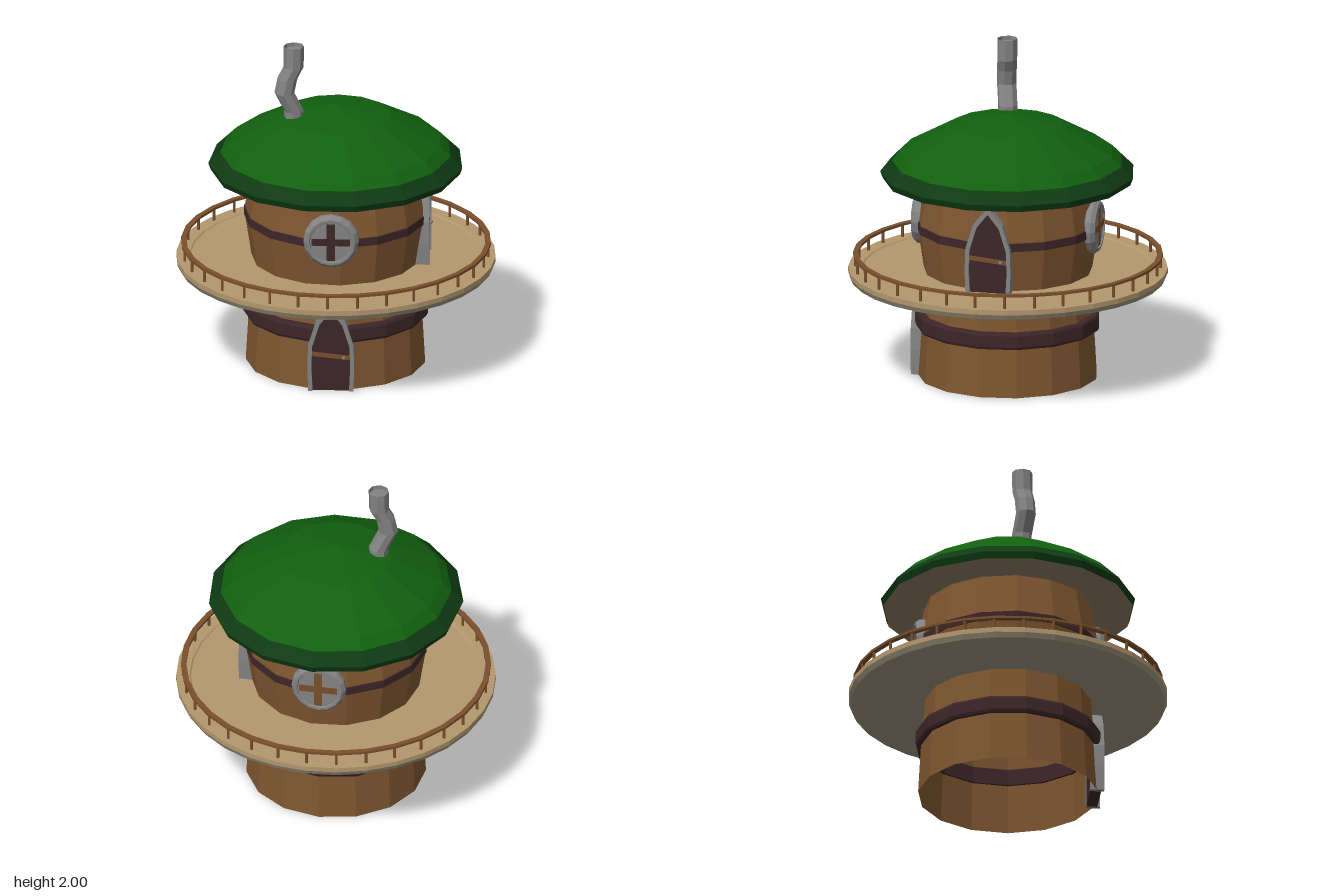
import * as THREE from 'three';

const mat = (name, color) => {
  const m = new THREE.MeshStandardMaterial({ color, flatShading: true, side: THREE.DoubleSide });
  m.name = name;
  return m;
};

export function createModel() {
  const wood = mat('barrel wood', 0x7f5630);
  const dark = mat('dark wood', 0x3d2628);
  const rail = mat('rail wood', 0x7a4f2c);
  const floor = mat('floor boards', 0xb3976e);
  const under = mat('underside', 0x9a917a);
  const eaves = mat('eaves', 0x8a7a62);
  const green = mat('roof green', 0x11600f);
  const darkGreen = mat('roof rim green', 0x0e3a13);
  const stone = mat('stone', 0x838383);

  const root = new THREE.Group();
  const add = (parent, name, geometry, material, x = 0, y = 0, z = 0) => {
    const m = new THREE.Mesh(geometry, material);
    m.name = name;
    m.position.set(x, y, z);
    parent.add(m);
    return m;
  };
  const lathe = (name, pts, material, sides, start) =>
    add(root, name, new THREE.LatheGeometry(pts.map(p => new THREE.Vector2(...p)), sides, start), material);
  const toShape = pts => new THREE.Shape(pts.map(p => new THREE.Vector2(...p)));
  const extrude = (shape, depth) => new THREE.ExtrudeGeometry(shape, { depth, bevelEnabled: false });

  // Barrel walls: 15 sides, each storey has a flat side behind its door
  const LOW = Math.PI, UP = -Math.PI / 2;
  lathe('lowerWall', [[0.537, 0], [0.52, 0.3], [0.508, 0.42], [0.495, 0.61]], wood, 15, LOW);
  lathe('upperWall', [[0.502, 0.64], [0.542, 0.9], [0.542, 0.96], [0.5, 1.215]], wood, 15, UP);
  lathe('lowerBand', [[0.505, 0.3], [0.545, 0.3], [0.553, 0.315], [0.553, 0.385],
    [0.545, 0.4], [0.505, 0.4], [0.505, 0.3]], dark, 15, LOW);
  lathe('upperBand', [[0.53, 0.905], [0.549, 0.905], [0.549, 0.955], [0.53, 0.955]], dark, 15, UP);

  // Balcony slab and floor
  lathe('balconySlab', [[0, 0.6], [0.935, 0.6], [0.95, 0.63]], under, 32, LOW);
  lathe('balconyFloor', [[0.95, 0.63], [0.95, 0.66], [0.87, 0.66], [0.862, 0.652], [0, 0.652]], floor, 32, LOW);

  // Railing
  lathe('handrail', [[0.89, 0.733], [0.922, 0.733], [0.922, 0.748], [0.89, 0.748], [0.89, 0.733]], rail, 32, LOW);
  const postGeo = new THREE.CylinderGeometry(0.009, 0.009, 0.085, 6);
  for (let i = 0; i < 32; i++) {
    const a = (i / 32) * Math.PI * 2;
    add(root, 'railPost', postGeo, rail, 0.907 * Math.sin(a), 0.696, 0.907 * Math.cos(a));
  }

  // Roof
  lathe('roofUnderside', [[0, 1.21], [0.745, 1.21]], eaves, 15, LOW);
  lathe('roofRim', [[0.745, 1.21], [0.76, 1.25], [0.69, 1.32]], darkGreen, 15, LOW);
  lathe('roofTop', [[0.69, 1.32], [0.632, 1.378], [0.33, 1.545], [0, 1.61]], green, 15, LOW);

  // Crooked chimney: rings of a cylinder shifted row by row, top to bottom
  const rows = [[-0.247, 2.0, 0.058], [-0.25, 1.87, 0.06], [-0.285, 1.8, 0.07],
    [-0.303, 1.71, 0.075], [-0.247, 1.59, 0.056], [-0.245, 1.45, 0.055]];
  const pipe = new THREE.CylinderGeometry(0.061, 0.058, 5, 8, 5, true);
  const p = pipe.attributes.position;
  for (let i = 0; i < p.count; i++) {
    const [x, y, z] = rows[Math.round(2.5 - p.getY(i))];
    p.setXYZ(i, p.getX(i) + x, y, p.getZ(i) + z);
  }
  add(root, 'chimney', pipe, stone);
  add(root, 'chimneyCap', new THREE.CircleGeometry(0.058, 8).rotateX(-Math.PI / 2), stone, -0.248, 1.975, 0.058);

  // Pointed doors, facing +z before turning
  const outer = [[0.134, 0], [0.14, 0.15], [0.135, 0.29], [0.088, 0.44], [0, 0.55]];
  const inner = [[0.108, 0], [0.116, 0.15], [0.111, 0.28], [0.068, 0.42], [0, 0.505]];
  const mirror = pts => pts.slice(0, -1).reverse().map(([x, y]) => [-x, y]);
  const outerArch = [...outer, ...mirror(outer)];
  const innerArch = [...inner, ...mirror(inner)];
  const frameGeo = extrude(toShape([...outerArch, ...innerArch.slice().reverse()]), 0.085);
  const panelGeo = extrude(toShape(innerArch), 0.065);
  const door = (name, y, turn) => {
    const g = new THREE.Group();
    g.name = name;
    g.position.y = y;
    g.rotation.y = turn;
    add(g, 'doorFrame', frameGeo, stone, 0, 0, 0.477);
    add(g, 'doorPanel', panelGeo, dark, 0, 0, 0.48);
    add(g, 'doorBrace', new THREE.BoxGeometry(0.228, 0.026, 0.008), rail, 0, 0.22, 0.548).rotation.z = -0.1;
    add(g, 'doorKnob', new THREE.SphereGeometry(0.011, 8, 6), stone, 0.078, 0.213, 0.562);
    root.add(g);
  };
  door('frontDoor', 0, 0);
  door('balconyDoor', 0.632, Math.PI / 2);

  // Round windows, front and back
  const ringPts = [[0.13, 0.485], [0.165, 0.485], [0.165, 0.535], [0.145, 0.56], [0.13, 0.56], [0.122, 0.545], [0.13, 0.485]]
    .map(q => new THREE.Vector2(...q));
  const ringGeo = new THREE.LatheGeometry(ringPts, 16).rotateX(Math.PI / 2);
  const roundWindow = (name, turn, barMat) => {
    const g = new THREE.Group();
    g.name = name;
    g.position.y = 0.945;
    g.rotation.y = turn;
    add(g, 'windowRing', ringGeo, stone);
    add(g, 'windowPane', new THREE.CircleGeometry(0.135, 16), stone, 0, 0, 0.551);
    add(g, 'crossBar', new THREE.BoxGeometry(0.23, 0.042, 0.006), barMat, 0, 0, 0.555);
    add(g, 'uprightBar', new THREE.BoxGeometry(0.048, 0.23, 0.005), barMat, 0, 0, 0.555);
    root.add(g);
  };
  roundWindow('frontWindow', 0, dark);
  roundWindow('backWindow', Math.PI, rail);

  return root;
}
